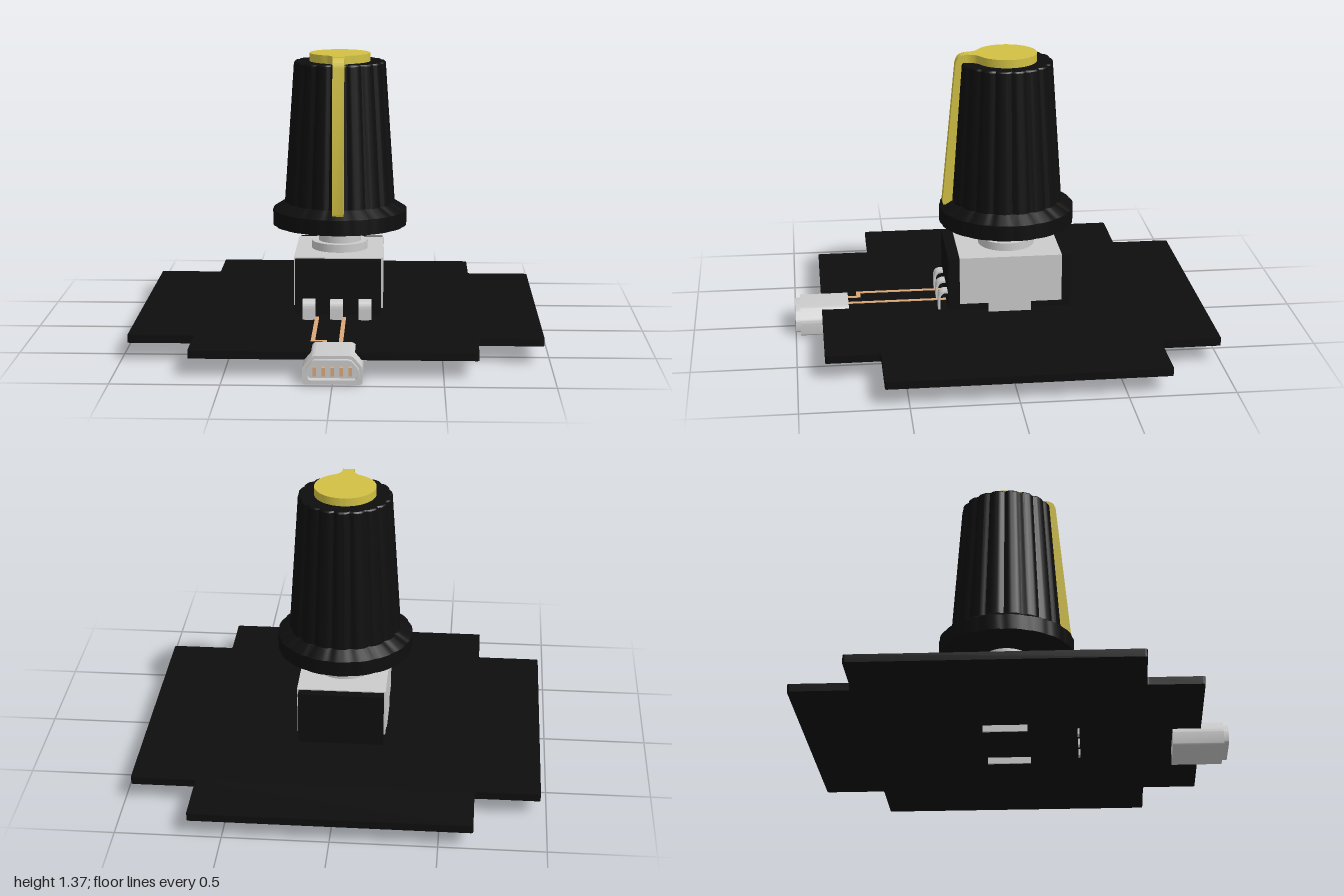
import * as THREE from 'three';
import { toCreasedNormals } from 'three/addons/utils/BufferGeometryUtils.js';

const material = (color) => new THREE.MeshStandardMaterial({ color });

export function createModel() {
  const model = new THREE.Group();
  const grey = material(0xcccccc);
  const black = material(0x0e0e0e);
  const yellow = material(0xd2c144);
  const copper = material(0xdba777);
  const AXIS_Z = -0.05; // axis of the shaft and knob

  const add = (name, geometry, mat, x = 0, y = 0, z = 0, parent = model) => {
    const mesh = new THREE.Mesh(geometry, mat);
    mesh.name = name;
    mesh.position.set(x, y, z);
    parent.add(mesh);
    return mesh;
  };
  // Box given by its limits on each axis
  const block = (name, mat, [x0, x1], [y0, y1], [z0, z1], parent) =>
    add(name, new THREE.BoxGeometry(x1 - x0, y1 - y0, z1 - z0), mat,
      (x0 + x1) / 2, (y0 + y1) / 2, (z0 + z1) / 2, parent);

  // Polygon with slightly rounded corners
  const roundedPolygon = (points, r, Type = THREE.Shape) => {
    const shape = new Type();
    const v = points.map(([x, y]) => new THREE.Vector2(x, y));
    v.forEach((p, i) => {
      const toward = (q) => p.clone().add(q.clone().sub(p).setLength(r));
      const a = toward(v[(i + v.length - 1) % v.length]);
      const b = toward(v[(i + 1) % v.length]);
      if (i === 0) shape.moveTo(a.x, a.y); else shape.lineTo(a.x, a.y);
      shape.quadraticCurveTo(p.x, p.y, b.x, b.y);
    });
    shape.closePath();
    return shape;
  };
  const extrude = (shape, depth, curveSegments = 6) => toCreasedNormals(
    new THREE.ExtrudeGeometry(shape, { depth, bevelEnabled: false, curveSegments }), 0.6);
  // Side profile (z, y) swept across x, centred on x = 0
  const sideProfile = (shape, width) =>
    extrude(shape, width, 10).rotateY(-Math.PI / 2).translate(width / 2, 0, 0);

  // Circuit board: a plate with its four corners cut out
  const board = roundedPolygon([
    [-0.66, -0.87], [0.66, -0.87], [0.66, -0.61], [0.97, -0.61], [0.97, 0.71], [0.66, 0.71],
    [0.66, 1], [-0.66, 1], [-0.66, 0.71], [-0.97, 0.71], [-0.97, -0.61], [-0.66, -0.61],
  ], 0.012);
  add('circuitBoard', extrude(board, 0.037).rotateX(-Math.PI / 2), black, 0, 0.086, 0);

  // Copper traces
  const traces = new THREE.Group();
  traces.name = 'copperTraces';
  model.add(traces);
  const TY = [0.12, 0.126];
  block('straightTrace', copper, [0.02, 0.04], TY, [0.25, 0.75], traces);
  block('steppedTraceLong', copper, [-0.11, -0.09], TY, [0.25, 0.695], traces);
  block('steppedTraceJog', copper, [-0.11, -0.035], TY, [0.675, 0.695], traces);
  block('steppedTraceEnd', copper, [-0.055, -0.035], TY, [0.675, 0.75], traces);

  // Potentiometer body with its folded metal bracket
  block('potentiometerBody', black, [-0.207, 0.207], [0.137, 0.402], [-0.345, 0.255]);
  block('bracketTop', grey, [-0.215, 0.215], [0.395, 0.407], [-0.3, 0.2]);
  const cheek = new THREE.Shape([
    [0.2, 0.407], [-0.3, 0.407], [-0.3, 0.17], [-0.15, 0.17], [-0.15, 0.055],
    [0.06, 0.055], [0.06, 0.17], [0.2, 0.17],
  ].map(([z, y]) => new THREE.Vector2(z, y)));
  for (const s of [-1, 1]) add('bracketSide', sideProfile(cheek, 0.01), grey, s * 0.21);

  // Bent solder pins
  const pin = new THREE.Shape();
  pin.moveTo(0.25, 0.217);
  pin.lineTo(0.27, 0.217);
  pin.quadraticCurveTo(0.302, 0.212, 0.302, 0.175);
  pin.lineTo(0.302, 0.125);
  pin.lineTo(0.292, 0.125);
  pin.lineTo(0.292, 0.175);
  pin.quadraticCurveTo(0.29, 0.204, 0.27, 0.207);
  pin.lineTo(0.25, 0.207);
  for (const x of [-0.138, -0.005, 0.132]) {
    add('solderPin', sideProfile(pin, 0.062), grey, x);
    block('solderPinTip', grey, [x - 0.02, x + 0.02], [0.057, 0.126], [0.292, 0.302]);
  }

  // Collar and shaft
  add('collar', new THREE.CylinderGeometry(0.138, 0.138, 0.045, 48), grey, 0, 0.424, AXIS_Z);
  add('shaft', new THREE.CylinderGeometry(0.105, 0.105, 0.16, 48), grey, 0, 0.5, AXIS_Z);

  // Knob: a turned profile with shallow grooves pressed into the grip
  const profile = [
    [0, 0.53], [0.33, 0.53], [0.33, 0.605], [0.272, 0.642], [0.225, 1.328], [0.219, 1.335], [0, 1.335],
  ].map(([r, y]) => new THREE.Vector2(r, y));
  const knob = new THREE.LatheGeometry(profile, 180);
  const pos = knob.attributes.position;
  for (let i = 0; i < pos.count; i++) {
    const x = pos.getX(i), y = pos.getY(i), z = pos.getZ(i);
    const r = Math.hypot(x, z);
    if (r < 0.1) continue;
    const wave = Math.cos(9 * Math.atan2(x, z)) ** 2; // 18 ribs
    const depth = (y > 0.62 ? 0.011 : 0.004) * (1 - wave) ** 3;
    pos.setXYZ(i, x * (1 - depth / r), y, z * (1 - depth / r));
  }
  add('knob', toCreasedNormals(knob, 0.5), black, 0, 0, AXIS_Z);

  // Yellow cap: a disc flaring into the neck of the pointer
  const cap = new THREE.Shape();
  const R = 0.148, a = 1.1, w = 0.027;
  cap.absarc(0, 0, R, -a, Math.PI + a, false);
  cap.quadraticCurveTo(-w, -0.15, -w, -0.205);
  cap.lineTo(w, -0.205);
  cap.quadraticCurveTo(w, -0.15, R * Math.cos(a), -R * Math.sin(a));
  add('cap', extrude(cap, 0.042, 48).rotateX(-Math.PI / 2), yellow, 0, 1.333, AXIS_Z);

  // Pointer running over the rim and down the grip
  const pointer = new THREE.Shape();
  pointer.moveTo(0.1, 1.375);
  pointer.lineTo(0.155, 1.373);
  pointer.quadraticCurveTo(0.19, 1.37, 0.198, 1.325);
  pointer.lineTo(0.266, 0.635);
  pointer.lineTo(0.262, 0.622);
  pointer.lineTo(0.2, 0.622);
  pointer.lineTo(0.155, 1.33);
  pointer.lineTo(0.1, 1.33);
  add('pointer', sideProfile(pointer, 0.056), yellow);

  // Socket: hollow shell with a narrower lip at the mouth and contacts inside
  const socket = new THREE.Group();
  socket.name = 'socket';
  model.add(socket);
  const outline = (m, Type) => roundedPolygon([
    [-0.135 + m, 0.002 + m], [0.135 - m, 0.002 + m], [0.135 - m, 0.08 - m * 0.4],
    [0.09 - m * 0.4, 0.134 - m], [-0.09 + m * 0.4, 0.134 - m], [-0.135 + m, 0.08 - m * 0.4],
  ], 0.014, Type);
  const ring = (m0, m1) => {
    const shape = outline(m0);
    shape.holes.push(outline(m1, THREE.Path));
    return shape;
  };
  add('socketShell', extrude(ring(0, 0.026), 0.238), grey, 0, 0, 0.738, socket);
  add('socketLip', extrude(ring(0.014, 0.026), 0.05), grey, 0, 0, 0.95, socket);
  add('socketCore', extrude(outline(0.026), 0.225), grey, 0, 0, 0.738, socket);
  for (let i = -2; i <= 2; i++) {
    const x = i * 0.04;
    block('contact', copper, [x - 0.008, x + 0.008], [0.042, 0.082], [0.95, 0.985], socket);
  }
  return model;
}
